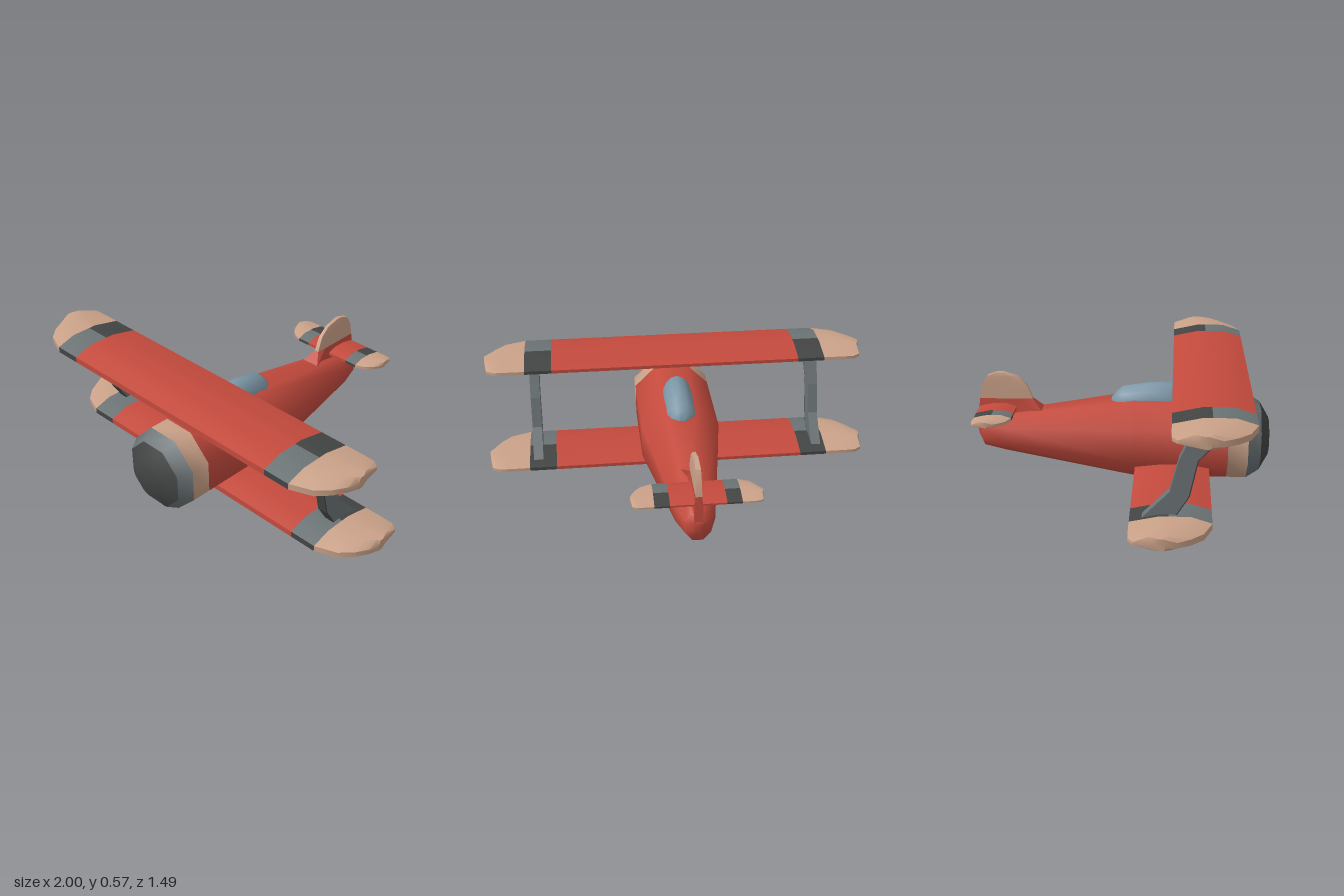
import * as THREE from 'three';
import { toCreasedNormals } from 'three/addons/utils/BufferGeometryUtils.js';

const mat = (name, color) => {
  const m = new THREE.MeshStandardMaterial({ color });
  m.name = name;
  return m;
};

// Skin a list of closed rings; edges picks which ring edges get faces
function loft(rings, { caps = [false, false], edges = null, crease = 0.9 } = {}) {
  const n = rings[0].length, index = [];
  const use = edges || rings[0].map((_, j) => j);
  for (let i = 0; i < rings.length - 1; i++) {
    for (const j of use) {
      const k = (j + 1) % n, a = i * n + j, b = i * n + k;
      index.push(a, b, b + n, a, b + n, a + n);
    }
  }
  const last = (rings.length - 1) * n;
  for (let j = 1; j < n - 1; j++) {
    if (caps[0]) index.push(0, j + 1, j);
    if (caps[1]) index.push(last, last + j, last + j + 1);
  }
  const g = new THREE.BufferGeometry();
  g.setAttribute('position', new THREE.Float32BufferAttribute(rings.flat(2), 3));
  g.setIndex(index);
  return toCreasedNormals(g.toNonIndexed(), crease);
}

// Octagonal fuselage ring with flats on top, bottom and sides
function octagon([z, cy, ry, rx]) {
  const r = 1 / Math.cos(Math.PI / 8);
  return Array.from({ length: 8 }, (_, k) => {
    const a = (k + 0.5) * Math.PI / 4;
    return [Math.cos(a) * rx * r, cy + Math.sin(a) * ry * r, z];
  });
}

// Wing section as [z, y] around its centre, rear top forward and round underneath
const SECTION = [[-0.187, 0.005], [-0.05, 0.035], [-0.01, 0.035], [0.09, 0.035], [0.187, 0.005],
  [0.187, -0.025], [0.12, -0.036], [-0.02, -0.036], [-0.187, -0.012]];
// Tip stations: distance from end, front z, rear z, thickness
const TIP = [[0.21, 0.187, -0.187, 1], [0.105, 0.147, -0.187, 1], [0.05, 0.09, -0.185, 0.95],
  [0.015, 0.03, -0.16, 0.88], [0, -0.02, -0.07, 0.8]];

export function createModel() {
  const red = mat('red paint', 0xc44a3d);
  const tan = mat('tan paint', 0xcaa188);
  const grey = mat('grey metal', 0x6b7375);
  const dark = mat('dark grey', 0x434444);
  const blue = mat('blue canopy', 0x7d97a7);

  const model = new THREE.Group();
  model.name = 'biplane';
  const add = (parent, name, geometry, material) => {
    const m = new THREE.Mesh(geometry, material);
    m.name = name;
    parent.add(m);
    return m;
  };

  // Fuselage, from tail to nose
  const body = (name, stations, material, caps) =>
    add(model, name, loft(stations.map(octagon), { caps }), material);
  body('fuselage', [
    [-0.745, 0.22, 0.03, 0.022], [-0.715, 0.205, 0.075, 0.06], [-0.6, 0.203, 0.095, 0.095],
    [0.06, 0.2, 0.2, 0.2], [0.535, 0.2, 0.2, 0.2]], red, [true, false]);
  body('noseBand', [[0.535, 0.2, 0.2, 0.2], [0.635, 0.2, 0.2, 0.2]], tan);
  body('cowl', [[0.635, 0.2, 0.2, 0.2], [0.7, 0.2, 0.162, 0.162]], grey);
  body('noseCap', [[0.7, 0.2, 0.162, 0.162], [0.745, 0.2, 0.09, 0.09]], dark, [false, true]);

  // Canopy: half-ellipse sections [z, top, half width]
  const canopy = [[-0.055, 0.395, 0.025], [-0.03, 0.425, 0.06], [0, 0.452, 0.077], [0.13, 0.475, 0.08],
    [0.245, 0.483, 0.078], [0.295, 0.45, 0.065], [0.312, 0.4, 0.035]];
  add(model, 'canopy', loft(canopy.map(([z, top, w]) =>
    Array.from({ length: 9 }, (_, k) => {
      const a = k * Math.PI / 8;
      return [Math.cos(a) * w, 0.36 + Math.sin(a) * (top - 0.36), z];
    })), { caps: [true, true], crease: 1.1 }), blue);

  // Wings and tailplane: red centre, two-tone bands, rounded tips
  function wing(name, half, scale, y0, z0) {
    const g = new THREE.Group();
    g.name = name;
    model.add(g);
    const ring = (x, front = 0.187, rear = -0.187, thick = 1) => SECTION.map(([z, y]) => {
      const t = (z + 0.187) / 0.374;
      return [x, y0 + y * thick * scale, z0 + (rear + t * (front - rear)) * scale];
    });
    const outer = half - 0.21 * scale, inner = outer - 0.14 * scale;
    add(g, 'centrePanel', loft([ring(-inner), ring(inner)], { crease: 0.5 }), red);
    for (const s of [1, -1]) {
      const order = (list) => (s > 0 ? list : list.reverse());
      const band = () => order([ring(s * inner), ring(s * outer)]);
      add(g, 'bandFront', loft(band(), { edges: [2, 3], crease: 0.5 }), grey);
      add(g, 'bandRear', loft(band(), { edges: [0, 1, 4, 5, 6, 7, 8], crease: 0.5 }), dark);
      const tip = order(TIP.map(([d, f, r, t]) => ring(s * (half - d * scale), f, r, t)));
      add(g, 'wingTip', loft(tip, { caps: [s < 0, s > 0], crease: 0.6 }), tan);
    }
  }
  wing('upperWing', 1, 1, 0.54, 0.442);
  wing('lowerWing', 1, 1, 0.07, 0.257);
  wing('tailplane', 0.305, 0.5, 0.338, -0.638);

  // Fin: sections [y, front z, rear z, front half width, rear half width]
  const finRing = ([y, f, r, wf, wr]) => {
    const m = f - 0.2 * (f - r);
    return [[-wf, y, f], [wf, y, f], [wr, y, m], [wr, y, r], [-wr, y, r], [-wr, y, m]];
  };
  const finMid = [0.38, -0.46, -0.732, 0.012, 0.015];
  add(model, 'finBase', loft([[0.22, -0.4, -0.745, 0.05, 0.022], [0.325, -0.41, -0.738, 0.05, 0.02],
    finMid].map(finRing), { crease: 0.5 }), red);
  add(model, 'finTop', loft([finMid, [0.455, -0.49, -0.718, 0.01, 0.014], [0.5, -0.54, -0.69, 0.008, 0.013],
    [0.518, -0.6, -0.64, 0.006, 0.01]].map(finRing), { caps: [false, true], crease: 0.5 }), tan);

  // Bent struts between the wings, dark along the leading edge
  const front = [[0.515, 0.52], [0.37, 0.365], [0.335, 0.195], [0.265, 0.08]];
  const rear = [[0.11, 0.07], [0.25, 0.215], [0.29, 0.37], [0.36, 0.52]];
  const plate = (points, width, x) => {
    const shape = new THREE.Shape(points.map(([z, y]) => new THREE.Vector2(z, y)));
    return new THREE.ExtrudeGeometry(shape, { depth: width, bevelEnabled: false })
      .rotateY(-Math.PI / 2).translate(x + width / 2, 0, 0);
  };
  const edge = front.map(([z, y]) => [z + 0.006, y]).reverse();
  for (const s of [1, -1]) {
    add(model, s > 0 ? 'leftStrut' : 'rightStrut', plate([...front, ...rear], 0.05, s * 0.745), grey);
    add(model, 'strutLeadingEdge', plate([...front, ...edge], 0.05, s * 0.745), dark);
  }
  return model;
}
